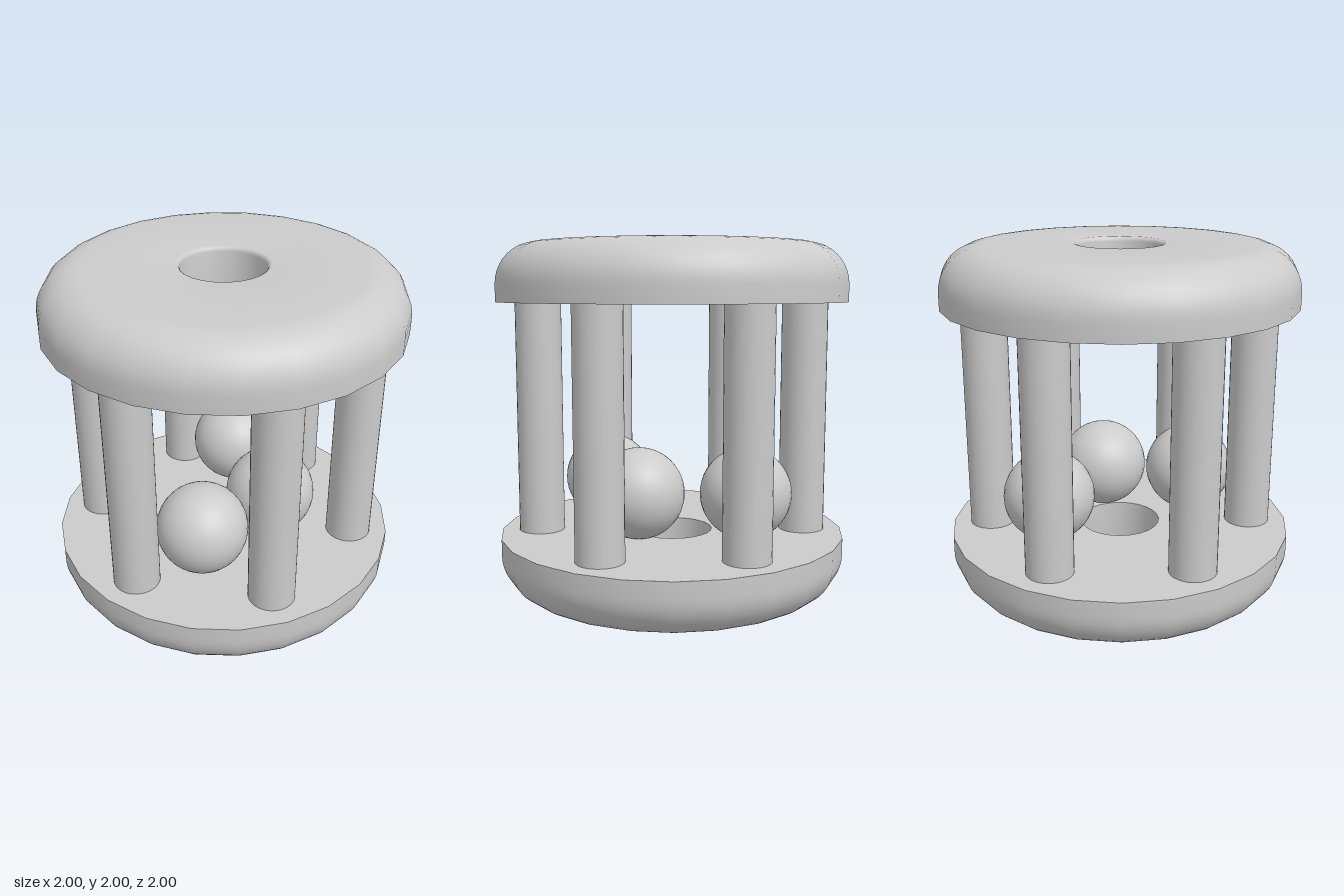
import * as THREE from 'three';
import { toCreasedNormals } from 'three/addons/utils/BufferGeometryUtils.js';

const material = new THREE.MeshStandardMaterial({ color: 0xcccccc });

function addMesh(parent, name, geometry, x, y, z) {
  const mesh = new THREE.Mesh(geometry, material);
  mesh.name = name;
  mesh.position.set(x, y, z);
  parent.add(mesh);
  return mesh;
}

// Ring-shaped cap: flat underside at y = 0, rounded outer top edge, softened hole
function capGeometry() {
  const height = 0.33, outer = 1, hole = 0.235, round = 0.235, soft = 0.025;
  const points = [new THREE.Vector2(hole, 0), new THREE.Vector2(outer, 0)];
  const arc = (cx, cy, r, from, to, steps) => {
    for (let i = 0; i <= steps; i++) {
      const a = from + ((to - from) * i) / steps;
      points.push(new THREE.Vector2(cx + r * Math.cos(a), cy + r * Math.sin(a)));
    }
  };
  arc(outer - round, height - round, round, 0, Math.PI / 2, 10);
  arc(hole + soft, height - soft, soft, Math.PI / 2, Math.PI, 4);
  points.push(new THREE.Vector2(hole, 0));
  return toCreasedNormals(new THREE.LatheGeometry(points, 24), 0.7);
}

export function createModel() {
  const group = new THREE.Group();
  group.name = 'cageRattle';

  // Two mirrored caps
  const cap = capGeometry();
  addMesh(group, 'topCap', cap, 0, 1.67, 0);
  addMesh(group, 'bottomCap', cap, 0, 0.335, 0).rotation.x = Math.PI;
  group.getObjectByName('bottomCap').scale.y = 0.335 / 0.33;

  // Six posts in a ring
  const post = new THREE.CylinderGeometry(0.132, 0.132, 1.335, 32, 1, true);
  for (let i = 0; i < 6; i++) {
    const a = (i * Math.PI) / 3;
    addMesh(group, `post${i + 1}`, post, 0.768 * Math.sin(a), 1.0025, 0.768 * Math.cos(a));
  }

  // Three loose balls resting on the bottom cap
  const ball = new THREE.SphereGeometry(0.26, 32, 24);
  [[0.225, 0.19], [0.23, -0.415], [-0.27, 0.385]].forEach(([x, z], i) =>
    addMesh(group, `ball${i + 1}`, ball, x, 0.597, z));

  return group;
}
